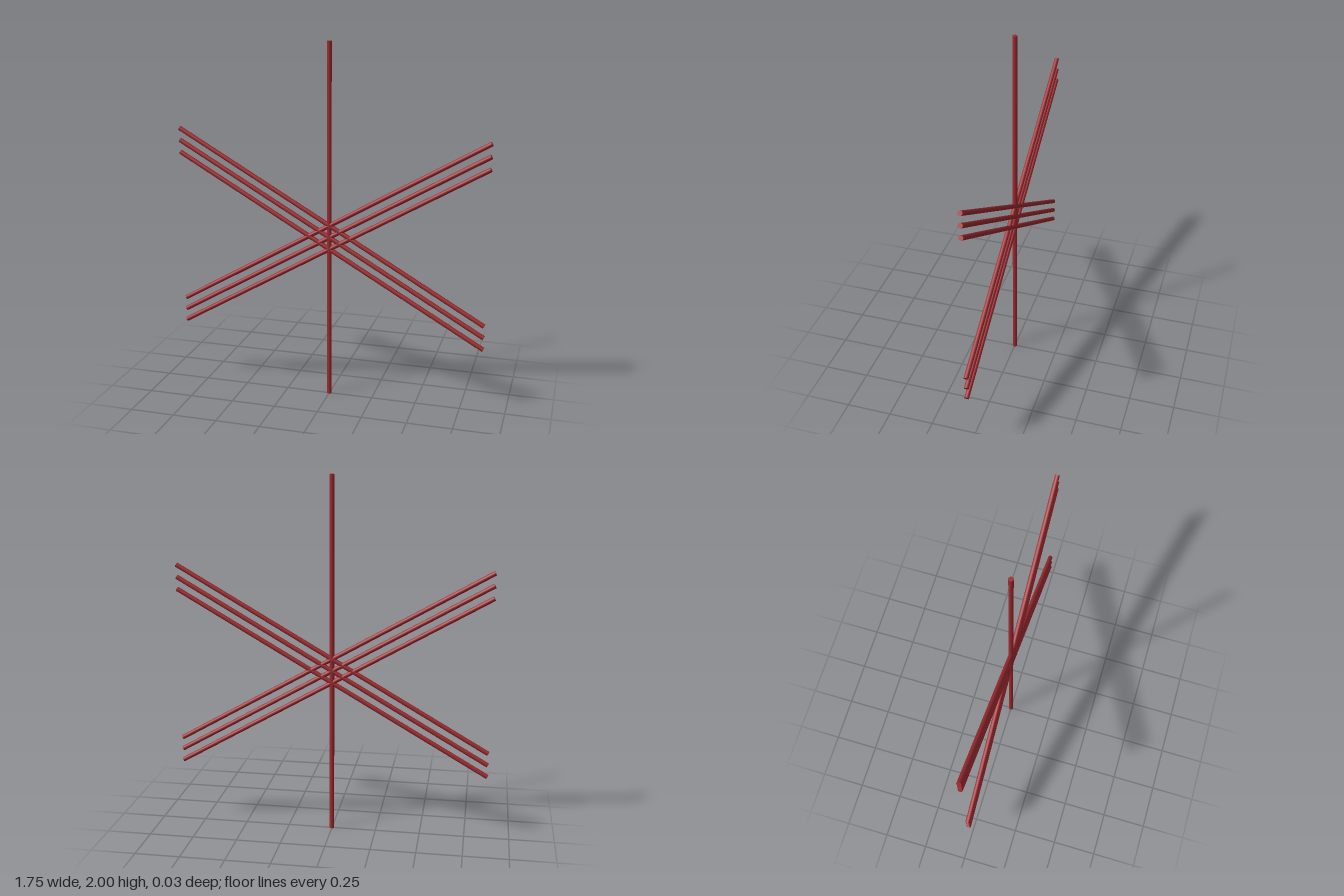
import * as THREE from 'three';

export function createModel() {
  const model = new THREE.Group();
  const material = new THREE.MeshStandardMaterial({ color: 0x9e2a2f });
  const rodGeometry = new THREE.CylinderGeometry(0.013, 0.013, 2, 12);

  // A rod of length 2, tilted in the front plane about its middle
  function addRod(name, y, tilt) {
    const rod = new THREE.Mesh(rodGeometry, material);
    rod.name = name;
    rod.position.y = y;
    rod.rotation.z = tilt;
    model.add(rod);
  }

  // Upright rod
  addRod('uprightRod', 1, 0);

  // Three parallel rods in each slanted direction, stacked downward
  for (let i = 0; i < 3; i++) {
    const y = 1 - i * 0.0675;
    addRod(`risingRod${i + 1}`, y, -Math.PI / 3);
    addRod(`fallingRod${i + 1}`, y, Math.PI / 3);
  }
  return model;
}
